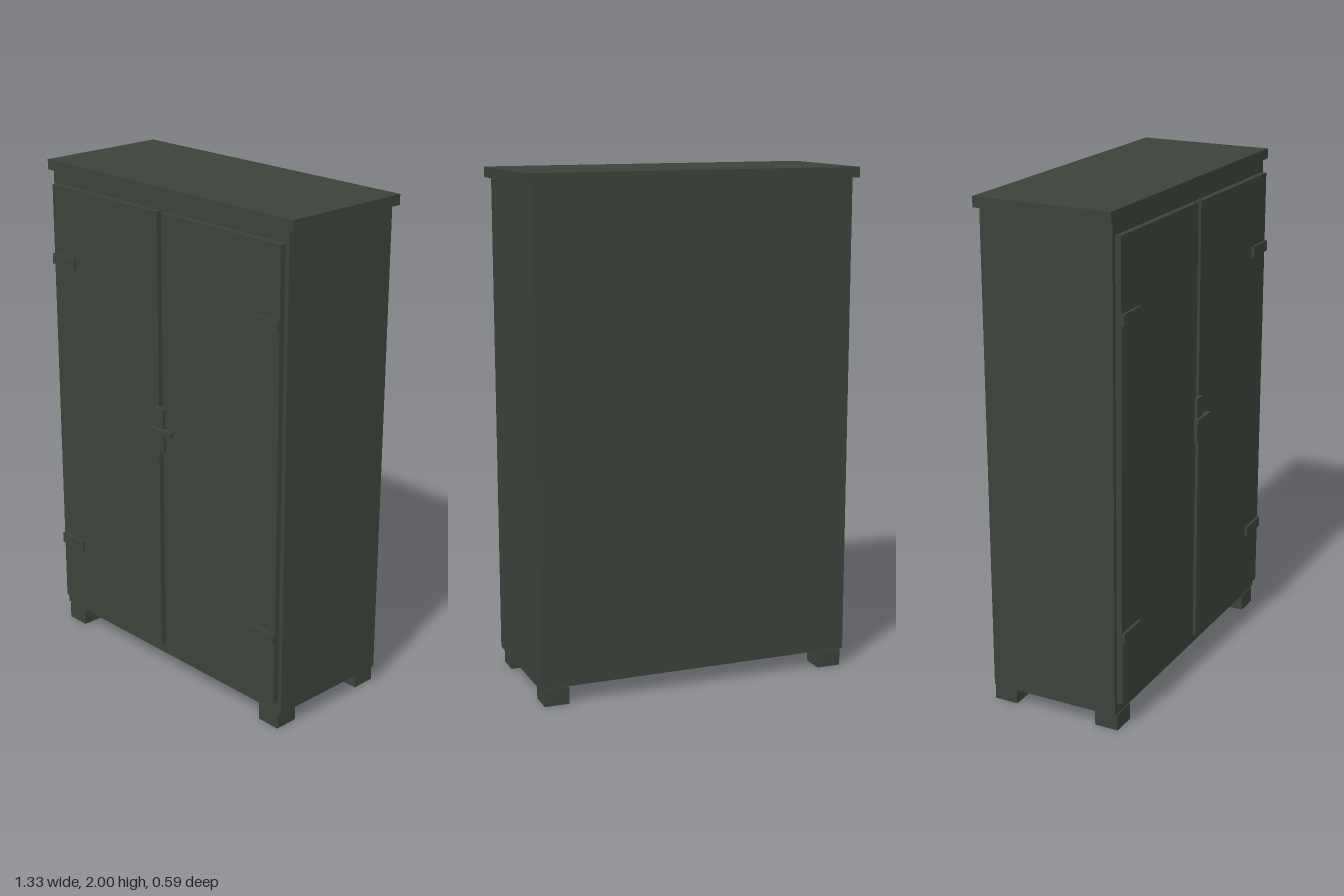
import * as THREE from 'three';

export function createModel() {
  const group = new THREE.Group();
  group.name = 'cabinet';
  const paint = new THREE.MeshStandardMaterial({ color: 0x3c423a });
  paint.name = 'dark green paint';

  // Box given by its lower and upper limits on each axis
  const box = (name, [x0, x1], [y0, y1], [z0, z1]) => {
    const mesh = new THREE.Mesh(new THREE.BoxGeometry(x1 - x0, y1 - y0, z1 - z0), paint);
    mesh.name = name;
    mesh.position.set((x0 + x1) / 2, (y0 + y1) / 2, (z0 + z1) / 2);
    group.add(mesh);
  };
  // Same limits, flipped to the chosen side of the cabinet
  const side = (s, a, b) => (s > 0 ? [a, b] : [-b, -a]);

  // Case and overhanging top
  box('body', [-0.64, 0.64], [0.068, 1.96], [-0.284, 0.247]);
  box('topBoard', [-0.665, 0.665], [1.96, 2], [-0.296, 0.256]);

  for (const s of [1, -1]) {
    const label = s > 0 ? 'left' : 'right';
    // Feet
    box(label + 'FrontFoot', side(s, 0.527, 0.625), [0, 0.069], [0.154, 0.251]);
    box(label + 'BackFoot', side(s, 0.527, 0.625), [0, 0.069], [-0.29, -0.193]);
    // Door and its hinges
    box(label + 'Door', side(s, 0.012, 0.622), [0.115, 1.91], [0.24, 0.27]);
    box(label + 'LowerHinge', side(s, 0.49, 0.622), [0.37, 0.412], [0.265, 0.281]);
    box(label + 'UpperHinge', side(s, 0.49, 0.622), [1.592, 1.634], [0.265, 0.281]);
  }

  // Lock plate and latch bar
  box('lockPlate', [-0.025, 0.025], [0.968, 1.148], [0.265, 0.283]);
  box('latchBar', [-0.035, 0.075], [1.046, 1.068], [0.274, 0.296]);

  return group;
}
